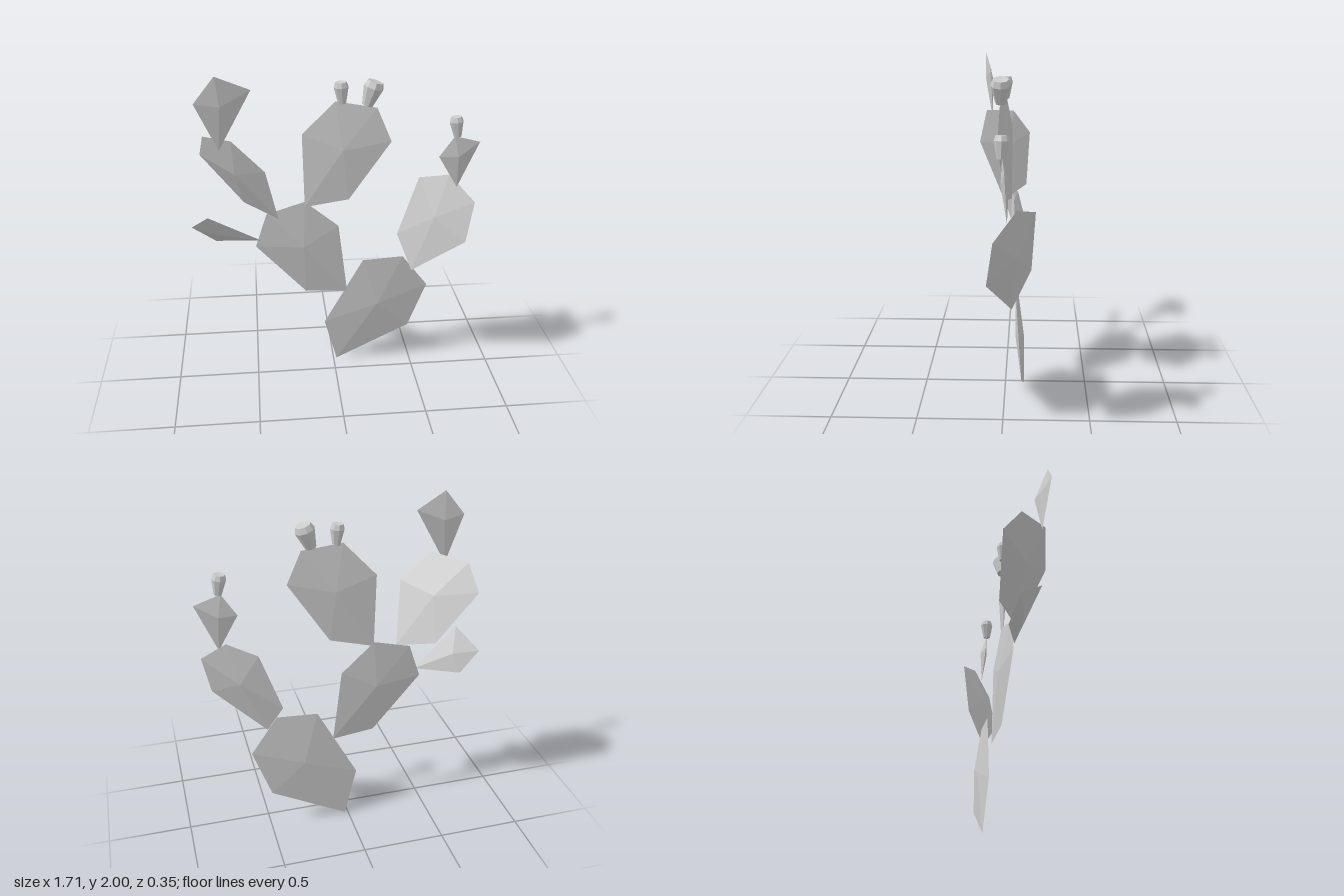
import * as THREE from 'three';

const material = new THREE.MeshStandardMaterial({ color: 0xcccccc, flatShading: true });

// Flat cactus pad: a rim loop closed by a shallow peak on either side
function makePad(name, rim, bulge) {
  const pts = rim.map(p => new THREE.Vector3(...p));
  const center = new THREE.Vector3();
  pts.forEach(p => center.addScaledVector(p, 1 / pts.length));
  const normal = new THREE.Vector3();
  const next = i => pts[(i + 1) % pts.length];
  pts.forEach((p, i) => normal.add(p.clone().sub(center).cross(next(i).clone().sub(center))));
  normal.normalize();
  const peakA = center.clone().addScaledVector(normal, bulge);
  const peakB = center.clone().addScaledVector(normal, -bulge);
  const tris = [];
  pts.forEach((p, i) => tris.push(p, next(i), peakA, next(i), p, peakB));
  const geometry = new THREE.BufferGeometry().setFromPoints(tris);
  geometry.computeVertexNormals();
  const mesh = new THREE.Mesh(geometry, material);
  mesh.name = name;
  return mesh;
}

// Small faceted bud, flaring from its base along the given direction
function makeBud(name, base, tip, radius) {
  const from = new THREE.Vector3(...base);
  const axis = new THREE.Vector3(...tip).sub(from);
  const h = axis.length();
  const profile = [[0, 0], [0.55, 0], [1, 0.76], [0.78, 1], [0, 0.97]]
    .map(([r, y]) => new THREE.Vector2(r * radius, y * h));
  const mesh = new THREE.Mesh(new THREE.LatheGeometry(profile, 8), material);
  mesh.position.copy(from);
  mesh.quaternion.setFromUnitVectors(new THREE.Vector3(0, 1, 0), axis.normalize());
  mesh.name = name;
  return mesh;
}

export function createModel() {
  const group = new THREE.Group();
  group.name = 'cactus';

  // Trunk pads
  group.add(makePad('basePad', [
    [0.02, 0, -0.117], [0.485, 0.24, -0.105], [0.595, 0.545, -0.09],
    [0.43, 0.765, -0.07], [0.18, 0.75, -0.07], [-0.06, 0.3, -0.095]], 0.025));
  group.add(makePad('middlePad', [
    [0.08, 0.545, -0.06], [0.025, 1.0, -0.06], [-0.18, 1.175, -0.045],
    [-0.41, 1.11, -0.03], [-0.48, 0.9, -0.03], [-0.18, 0.565, -0.045]], 0.025));
  group.add(makePad('upperPad', [
    [-0.18, 1.145, -0.035], [0.08, 1.2, 0.0], [0.32, 1.565, 0.035],
    [0.235, 1.765, 0.025], [0.0, 1.8, -0.005], [-0.19, 1.6, -0.035]], 0.022));

  // Right-hand branch of the front
  group.add(makePad('leftArmPad', [
    [0.485, 0.675, -0.05], [0.785, 0.92, 0.077], [0.835, 1.165, 0.04],
    [0.7, 1.3, -0.08], [0.535, 1.25, -0.178], [0.405, 0.88, -0.157]], 0.025));
  group.add(makePad('leftTipPad', [
    [0.735, 1.24, -0.03], [0.855, 1.525, -0.02],
    [0.7, 1.57, -0.005], [0.615, 1.44, -0.02]], 0.022));

  // Left-hand branches of the front
  group.add(makePad('rightArmPad', [
    [-0.34, 1.1, 0.02], [-0.41, 1.46, 0.175], [-0.59, 1.635, 0.14],
    [-0.755, 1.61, -0.03], [-0.785, 1.46, -0.14], [-0.54, 1.155, -0.12]], 0.025));
  group.add(makePad('rightTipPad', [
    [-0.66, 1.57, 0.105], [-0.47, 1.91, 0.105],
    [-0.66, 2.0, 0.147], [-0.78, 1.85, 0.14]], 0.022));
  group.add(makePad('rightSidePad', [
    [-0.45, 0.945, -0.02], [-0.75, 1.15, 0.077],
    [-0.857, 1.03, -0.06], [-0.72, 0.915, -0.1]], 0.022));

  // Buds
  group.add(makeBud('budCentre', [0.038, 1.79, 0], [0.03, 1.912, 0], 0.042));
  group.add(makeBud('budLarge', [0.178, 1.78, 0.02], [0.222, 1.915, 0.02], 0.058));
  group.add(makeBud('budSide', [0.713, 1.57, 0], [0.698, 1.688, -0.004], 0.041));

  return group;
}
